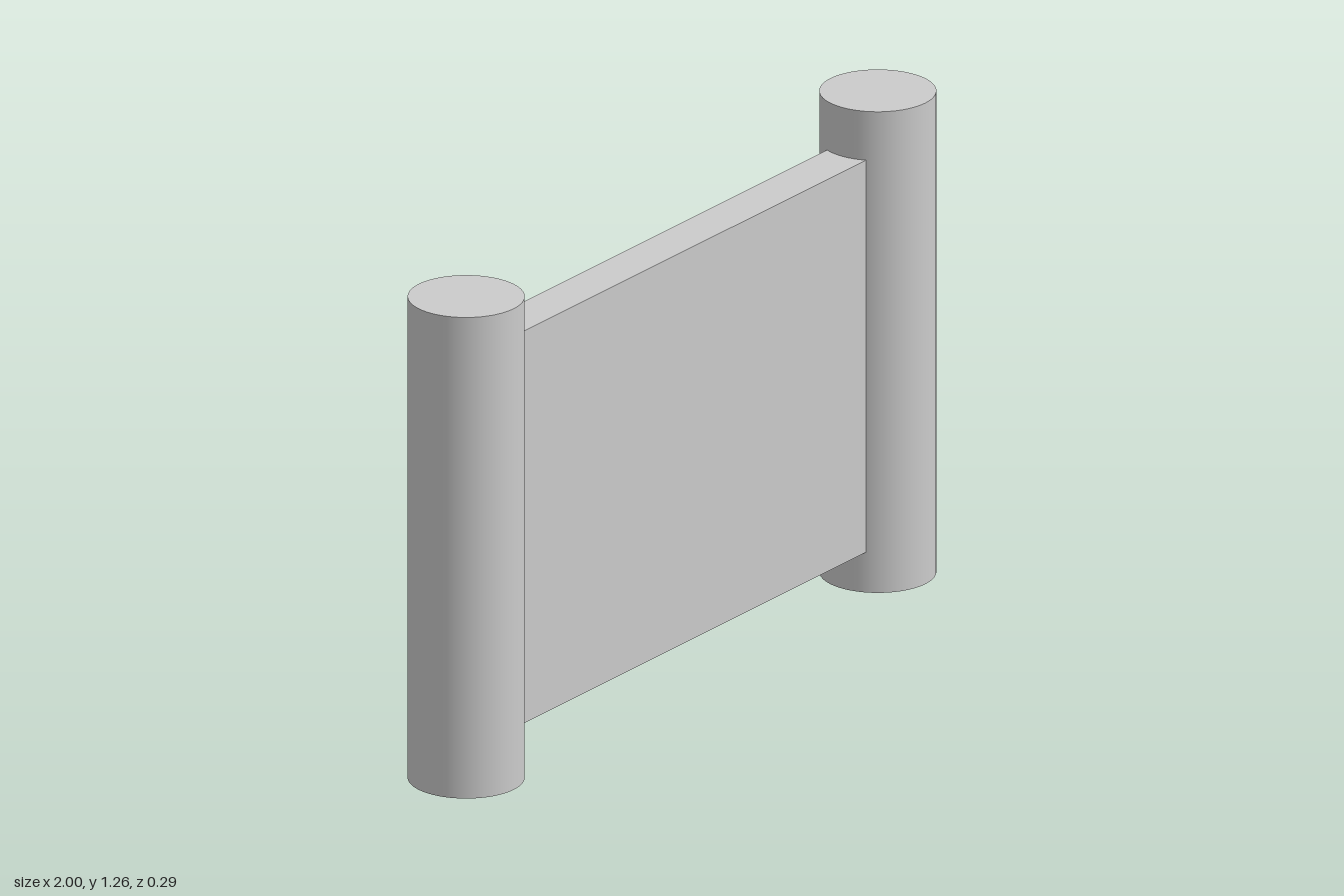
import * as THREE from 'three';

const HEIGHT = 1.26;
const RADIUS = 0.143;
const POST_X = 1 - RADIUS;
const PANEL_BOTTOM = 0.105;
const PANEL_TOP = 1.132;
const PANEL_DEPTH = 0.117;

export function createModel() {
  const model = new THREE.Group();
  model.name = 'panelBetweenPosts';
  const material = new THREE.MeshStandardMaterial({ color: 0xcccccc });

  // Round posts, one at each end
  const postGeometry = new THREE.CylinderGeometry(RADIUS, RADIUS, HEIGHT, 64);
  for (const [name, side] of [['leftPost', 1], ['rightPost', -1]]) {
    const post = new THREE.Mesh(postGeometry, material);
    post.name = name;
    post.position.set(side * POST_X, HEIGHT / 2, 0);
    model.add(post);
  }

  // Flat panel, its ends sunk into the posts
  const panel = new THREE.Mesh(
    new THREE.BoxGeometry(2 * POST_X, PANEL_TOP - PANEL_BOTTOM, PANEL_DEPTH),
    material
  );
  panel.name = 'panel';
  panel.position.y = (PANEL_TOP + PANEL_BOTTOM) / 2;
  model.add(panel);

  return model;
}
